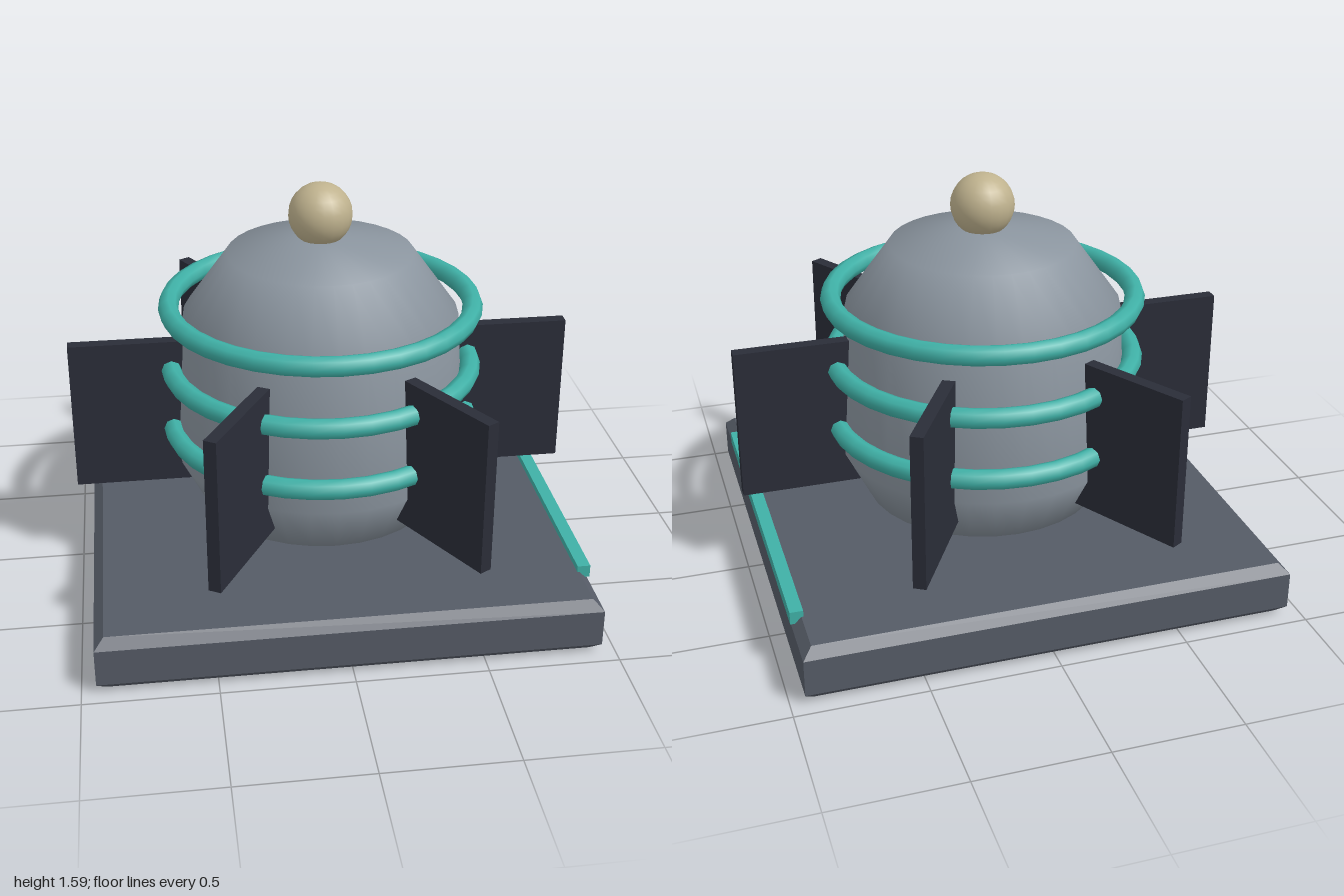
import * as THREE from 'three';

const paint = (color, extra = {}) => {
  const m = new THREE.MeshStandardMaterial({ color });
  return Object.assign(m, extra);
};

export function createModel() {
  const model = new THREE.Group();
  const slate = paint(0x555b66, { flatShading: true });
  const steel = paint(0x8a949e);
  const dark = paint(0x2a2d38);
  const teal = paint(0x3fb0a6);
  const sand = paint(0xbfb28e);

  const add = (name, geometry, material, x = 0, y = 0, z = 0) => {
    const mesh = new THREE.Mesh(geometry, material);
    mesh.name = name;
    mesh.position.set(x, y, z);
    model.add(mesh);
    return mesh;
  };

  // Square plinth with chamfered top and bottom edges
  const bevel = 0.037, inner = 0.945 - bevel;
  const square = new THREE.Shape([
    new THREE.Vector2(-inner, -inner), new THREE.Vector2(inner, -inner),
    new THREE.Vector2(inner, inner), new THREE.Vector2(-inner, inner),
  ]);
  const plinth = new THREE.ExtrudeGeometry(square, {
    depth: 0.22 - 2 * bevel, bevelSize: bevel, bevelThickness: bevel, bevelSegments: 1,
  });
  plinth.rotateX(-Math.PI / 2);
  add('plinth', plinth, slate, 0, bevel, 0);

  // Light strip along the left edge of the plinth
  add('edgeStrip', new THREE.BoxGeometry(0.05, 0.05, 1.45), teal, 0.925, 0.22, 0);

  // Round vessel with a domed top
  const profile = [
    [0, 0.26], [0.48, 0.26], [0.585, 0.47], [0.545, 1.06],
    [0.365, 1.31], [0.085, 1.367], [0, 1.367],
  ].map(([r, y]) => new THREE.Vector2(r, y));
  add('vessel', new THREE.LatheGeometry(profile, 32), steel);

  // Ball finial
  add('finial', new THREE.SphereGeometry(0.125, 20, 14), sand, 0, 1.46, 0);

  // Three hoops around the vessel
  const hoop = new THREE.TorusGeometry(0.6, 0.04, 8, 36);
  hoop.rotateX(Math.PI / 2);
  [0.585, 0.842, 1.095].forEach((y, i) => add(`hoop${i + 1}`, hoop, teal, 0, y, 0));

  // Six radial fins
  const fin = new THREE.BoxGeometry(0.55, 0.615, 0.05);
  fin.translate(0.725, 0.6575, 0);
  for (let i = 0; i < 6; i++) {
    add(`fin${i + 1}`, fin, dark).rotation.y = (i * Math.PI) / 3;
  }

  return model;
}
